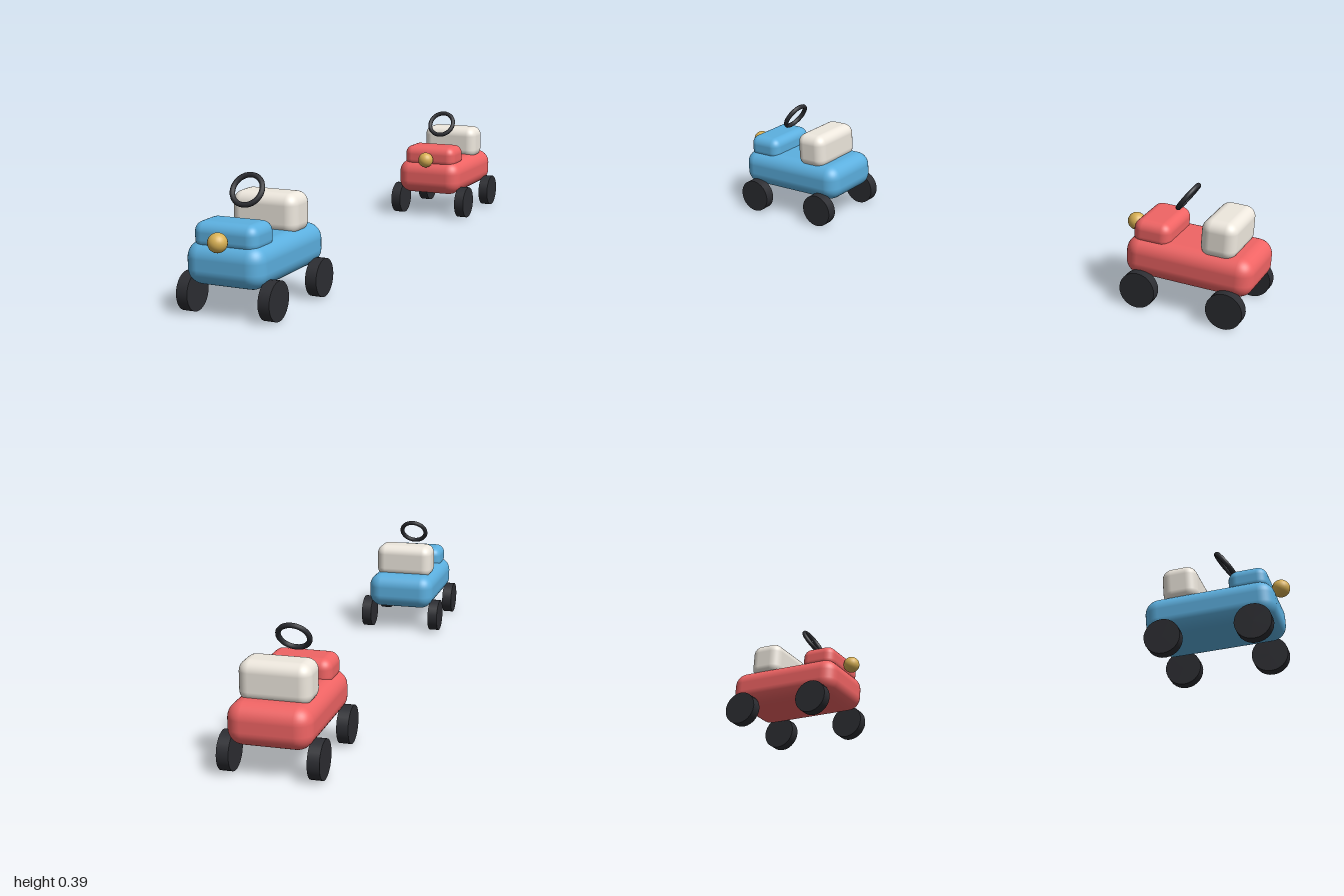
import * as THREE from 'three';
import { RoundedBoxGeometry } from 'three/addons/geometries/RoundedBoxGeometry.js';

const material = (color) => new THREE.MeshStandardMaterial({ color });

function addPart(parent, name, geometry, mat, x, y, z) {
  const mesh = new THREE.Mesh(geometry, mat);
  mesh.name = name;
  mesh.position.set(x, y, z);
  parent.add(mesh);
  return mesh;
}

// One toy car, centred on its own wheelbase
function createCar(name, paintColor) {
  const car = new THREE.Group();
  car.name = name;
  const paint = material(paintColor);
  const cream = material(0xeee8de);
  const rubber = material(0x2c2d32);
  const brass = material(0xd9b154);

  // Bodywork and seat
  addPart(car, 'body', new RoundedBoxGeometry(0.249, 0.127, 0.416, 5, 0.048), paint, 0, 0.153, 0);
  addPart(car, 'hood', new RoundedBoxGeometry(0.203, 0.083, 0.124, 5, 0.031), paint, 0, 0.231, 0.128);
  addPart(car, 'seat', new RoundedBoxGeometry(0.213, 0.122, 0.114, 5, 0.034), cream, 0, 0.26, -0.089);

  // Headlamp on the nose
  addPart(car, 'headlamp', new THREE.SphereGeometry(0.0285, 24, 16), brass, 0, 0.226, 0.2165);

  // Steering wheel leaning back towards the seat
  const steering = addPart(car, 'steeringWheel',
    new THREE.TorusGeometry(0.047, 0.008, 10, 32), rubber, 0, 0.345, 0.048);
  steering.rotation.x = -0.58;

  // Four road wheels
  const wheel = new THREE.CylinderGeometry(0.0585, 0.0585, 0.036, 28).rotateZ(Math.PI / 2);
  for (const [side, x] of [['Left', 0.131], ['Right', -0.131]]) {
    for (const [end, z] of [['front', 0.143], ['rear', -0.143]]) {
      addPart(car, `${end}${side}Wheel`, wheel, rubber, x, 0.0585, z);
    }
  }
  return car;
}

export function createModel() {
  const model = new THREE.Group();
  model.name = 'toyCars';
  // Two matching cars, one behind the other
  const blue = createCar('blueCar', 0x5cb0e0);
  blue.position.z = 0.755;
  const red = createCar('redCar', 0xf06464);
  red.position.z = -0.792;
  model.add(blue, red);
  return model;
}
